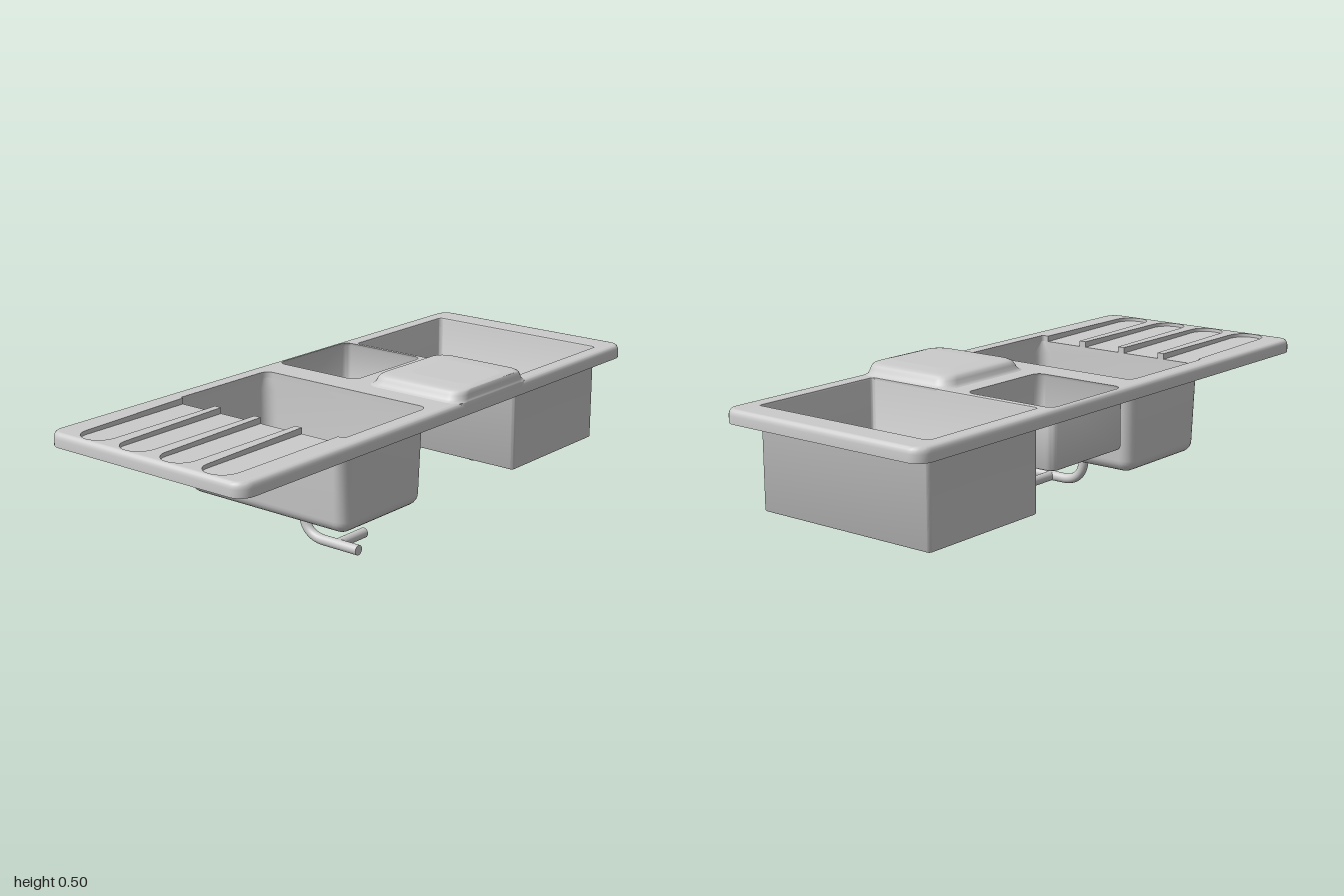
import * as THREE from 'three';
import { toCreasedNormals } from 'three/addons/utils/BufferGeometryUtils.js';

const TOP = 0.465, PIPE_R = 0.017;
const mat = new THREE.MeshStandardMaterial({ color: 0xcccccc, side: THREE.DoubleSide });

// Plan outlines use (x, y) with y = -z, counter-clockwise from above
function roundRect(x0, x1, y0, y1, r, rLeft = r) {
  const pts = [];
  [[x1, y1, -1, -1, r], [x0, y1, 1, -1, rLeft], [x0, y0, 1, 1, rLeft], [x1, y0, -1, 1, r]]
    .forEach(([cx, cy, sx, sy, rad], k) => {
      for (let i = 0; i <= 6; i++) {
        const a = (k + i / 6) * Math.PI / 2;
        pts.push(new THREE.Vector2(cx + sx * rad + rad * Math.cos(a), cy + sy * rad + rad * Math.sin(a)));
      }
    });
  return pts;
}

// Skin between closed loops; each ring is [points, height or height function of x]
function loft(rings) {
  const pos = [], idx = [], n = rings[0][0].length;
  rings.forEach(([pts, y]) => pts.forEach(p => pos.push(p.x, typeof y === 'function' ? y(p.x) : y, -p.y)));
  for (let k = 0; k < rings.length - 1; k++) {
    for (let i = 0; i < n; i++) {
      const a = k * n + i, b = k * n + (i + 1) % n;
      idx.push(a, b, b + n, a, b + n, a + n);
    }
  }
  const g = new THREE.BufferGeometry();
  g.setAttribute('position', new THREE.Float32BufferAttribute(pos, 3));
  g.setIndex(idx);
  return toCreasedNormals(g, 0.7);
}

// Flat horizontal sheet with optional holes
function sheet(pts, y, holes = []) {
  const s = new THREE.Shape(pts);
  holes.forEach(h => s.holes.push(new THREE.Path(h)));
  return new THREE.ShapeGeometry(s).rotateX(-Math.PI / 2).translate(0, y, 0);
}

const circle = (x, y, r) => roundRect(x - r, x + r, y - r, y + r, r);

function add(parent, name, geometry) {
  const m = new THREE.Mesh(geometry, mat);
  m.name = name;
  parent.add(m);
  return m;
}

// Basin shell: start rings, tapered walls, rounded bottom edge, floor with optional drain
function basin(parent, name, { x0, x1, y0, y1, r, fillet, taper, bottom, start, drain }) {
  const ring = i => roundRect(x0 + i, x1 - i, y0 + i, y1 - i, Math.max(r - i, 0.004));
  const rings = [...start];
  for (let k = 0; k <= 6; k++) {
    const a = k / 6 * Math.PI / 2;
    rings.push([ring(taper + fillet * (1 - Math.cos(a))), bottom + fillet * (1 - Math.sin(a))]);
  }
  const g = new THREE.Group();
  g.name = name;
  add(g, name + 'Walls', loft(rings));
  add(g, name + 'Floor', sheet(rings.at(-1)[0], bottom, drain ? [circle(drain, 0, PIPE_R)] : []));
  parent.add(g);
}

export function createModel() {
  const model = new THREE.Group();
  model.name = 'sink';

  // Drainer grooves: tapered fingers running into the left basin
  const EDGE = -0.49, LIP = 0.445;
  const grooveY = x => x >= EDGE ? LIP : TOP - 0.012 - 0.008 * (x + 0.98) / 0.49;
  const fingers = [0.33, 0.162, -0.006, -0.174].map(hi => {
    const lo = hi - 0.142, h = (hi - 0.02 - lo) / 2, pts = [new THREE.Vector2(EDGE, hi)];
    for (let i = 0; i <= 14; i++) {
      const a = Math.PI * (0.5 + i / 14);
      pts.push(new THREE.Vector2(-0.92 + 0.06 * Math.cos(a), lo + h + h * Math.sin(a)));
    }
    pts.push(new THREE.Vector2(EDGE, lo));
    return pts;
  });

  // Openings in the deck
  const leftTop = roundRect(EDGE, -0.08, -0.34, 0.34, 0.03, 0.008);
  const leftOpening = [...leftTop.slice(0, 14), ...fingers.flat(), ...leftTop.slice(14)];
  const rightRing = i => roundRect(0.405 - i, 0.9 + i, -0.34 - i, 0.34 + i, 0.012 + i);
  const smallOpening = roundRect(0.024, 0.386, 0.04, 0.38, 0.03);
  const boardOpening = roundRect(0.03, 0.37, -0.37, -0.05, 0.03);

  // Deck with rolled outer rim
  const rimRing = i => roundRect(-1 + i, 1 - i, -0.4 + i, 0.4 - i, 0.05 - i);
  const rim = [[0, 0.42], [0, 0.445], [0.0015, 0.453], [0.005, 0.46], [0.01, 0.464], [0.016, TOP]];
  add(model, 'rim', loft(rim.map(([i, y]) => [rimRing(i), y])));
  add(model, 'deck', sheet(rimRing(0.016), TOP, [leftOpening, rightRing(0.006), smallOpening, boardOpening]));

  // Groove walls and sloping groove floors
  add(model, 'drainerEdge', loft([[leftOpening, TOP], [leftOpening, grooveY]]));
  fingers.forEach((f, i) => {
    const g = sheet(f, 0), p = g.attributes.position;
    for (let k = 0; k < p.count; k++) p.setY(k, grooveY(p.getX(k)));
    g.computeVertexNormals();
    add(model, 'drainerGroove' + (i + 1), g);
  });

  // Three basins
  basin(model, 'leftBasin', {
    x0: EDGE, x1: -0.08, y0: -0.34, y1: 0.34, r: 0.05, fillet: 0.04, taper: 0.007, bottom: 0.145, drain: -0.285,
    start: [[leftTop, LIP], [roundRect(EDGE, -0.08, -0.34, 0.34, 0.045), 0.405]],
  });
  basin(model, 'rightBasin', {
    x0: 0.405, x1: 0.9, y0: -0.34, y1: 0.34, r: 0.012, fillet: 0.005, taper: 0, bottom: 0.13, drain: 0.655,
    start: [[rightRing(0.006), TOP], [rightRing(0.002), 0.463], [rightRing(0), 0.457]],
  });
  basin(model, 'smallBasin', {
    x0: 0.02, x1: 0.39, y0: 0.04, y1: 0.387, r: 0.03, fillet: 0.01, taper: 0, bottom: 0.265,
    start: [[smallOpening, TOP], [roundRect(0.02, 0.39, 0.04, 0.387, 0.03), 0.455]],
  });

  // Raised, slightly crowned platform in front of the small basin
  const boardRing = i => roundRect(-0.005 + i, 0.405 - i, -0.4 + 0.3 * i, -0.02 - i, 0.05);
  const board = [[0, 0.445], [0, 0.464], [0.007, 0.467], [0.013, 0.473], [0.018, 0.485],
    [0.024, 0.495], [0.033, 0.5], [0.05, 0.502], [0.1, 0.505]];
  add(model, 'raisedPlatform', loft(board.map(([i, y]) => [boardRing(i), y])));
  add(model, 'raisedPlatformTop', sheet(boardRing(0.1), 0.505));

  // Left waste pipe: drop, elbow towards the front, side branch
  const v = (y, z) => new THREE.Vector3(-0.285, y, z);
  const path = new THREE.CurvePath();
  path.add(new THREE.LineCurve3(v(0.145, 0), v(0.1, 0)));
  path.add(new THREE.CubicBezierCurve3(v(0.1, 0), v(0.05, 0), v(0.019, 0.03), v(0.019, 0.085)));
  path.add(new THREE.LineCurve3(v(0.019, 0.085), v(0.019, 0.228)));
  add(model, 'leftWastePipe', new THREE.TubeGeometry(path, 48, PIPE_R, 24));
  add(model, 'leftWastePipeEnd', new THREE.CircleGeometry(PIPE_R, 24)).position.set(-0.285, 0.019, 0.228);
  const branch = add(model, 'wasteBranch', new THREE.CylinderGeometry(PIPE_R, PIPE_R, 0.135, 24));
  branch.rotation.z = Math.PI / 2;
  branch.position.set(-0.2175, 0.019, 0.14);

  // Right waste pipe
  add(model, 'rightWastePipe', new THREE.CylinderGeometry(PIPE_R, PIPE_R, 0.095, 24)).position.set(0.655, 0.0825, 0);

  // Rest the lowest pipe on the ground
  model.children.forEach(c => { c.position.y -= 0.002; });
  return model;
}
